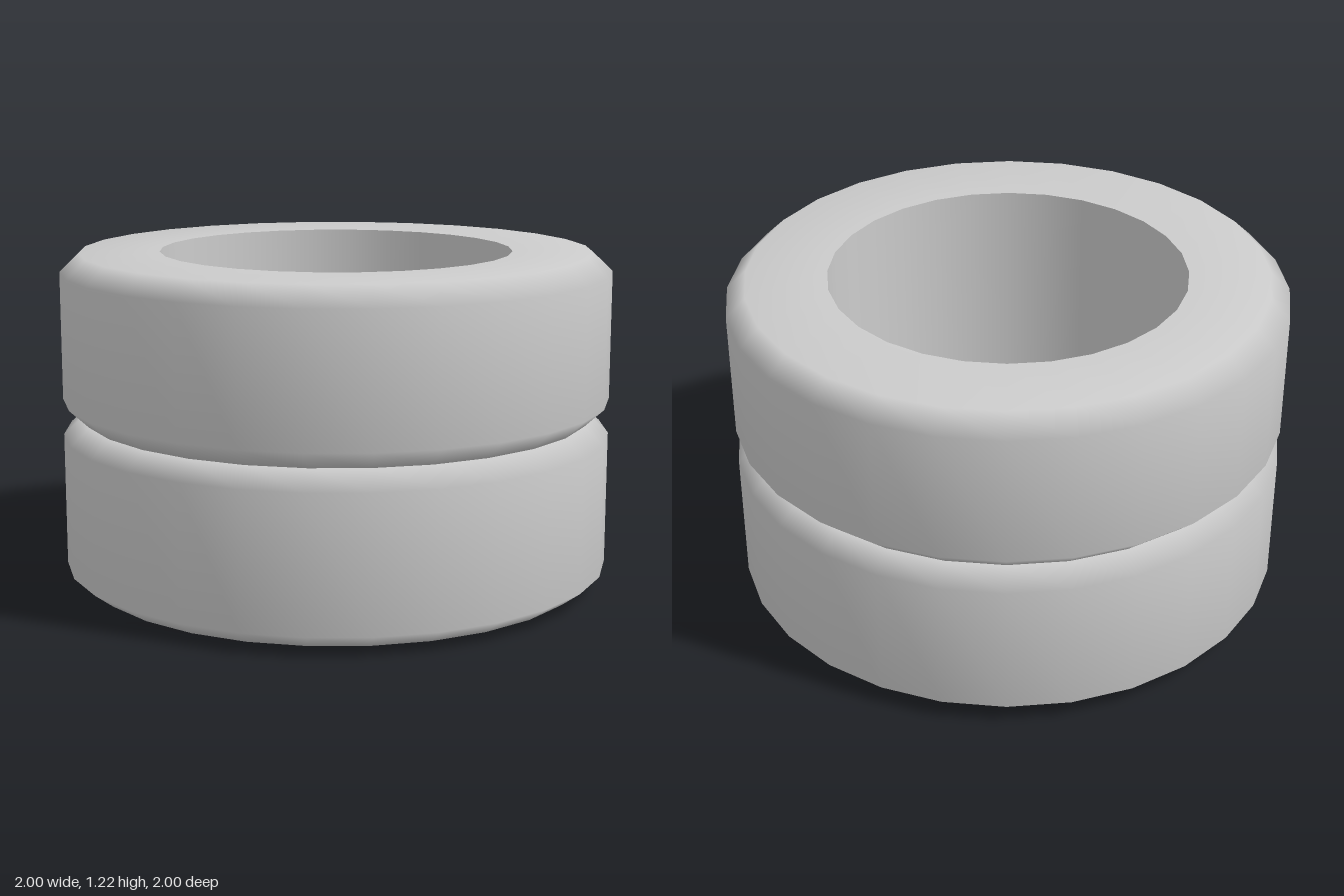
import * as THREE from 'three';

const SEGMENTS = 28;
const HOLE = 0.64, SHOULDER = 0.93, TREAD = 1;

export function createModel() {
  const group = new THREE.Group();
  const material = new THREE.MeshStandardMaterial({ color: 0xcccccc });

  // Revolve a list of [radius, height] pairs about the y axis
  const lathe = (name, profile) => {
    const points = profile.map(([r, y]) => new THREE.Vector2(r, y));
    const mesh = new THREE.Mesh(new THREE.LatheGeometry(points, SEGMENTS), material);
    mesh.name = name;
    return mesh;
  };

  // One tyre: softly shaded shell, plus a separate hole wall so its rims stay sharp
  const addTyre = (name, base, bottomShoulder, treadBottom, treadTop, top) => {
    const tyre = new THREE.Group();
    tyre.name = name;
    tyre.add(lathe('tyreShell', [
      [HOLE, base],
      [SHOULDER, bottomShoulder],
      [TREAD, treadBottom],
      [TREAD, treadTop],
      [SHOULDER, top],
      [HOLE, top],
    ]));
    tyre.add(lathe('holeWall', [[HOLE, top], [HOLE, base]]));
    group.add(tyre);
  };

  // The lower tyre bulges slightly at its underside
  addTyre('lowerTyre', 0, 0.018, 0.07, 0.555, 0.62);
  addTyre('upperTyre', 0.62, 0.62, 0.685, 1.15, 1.217);

  return group;
}
